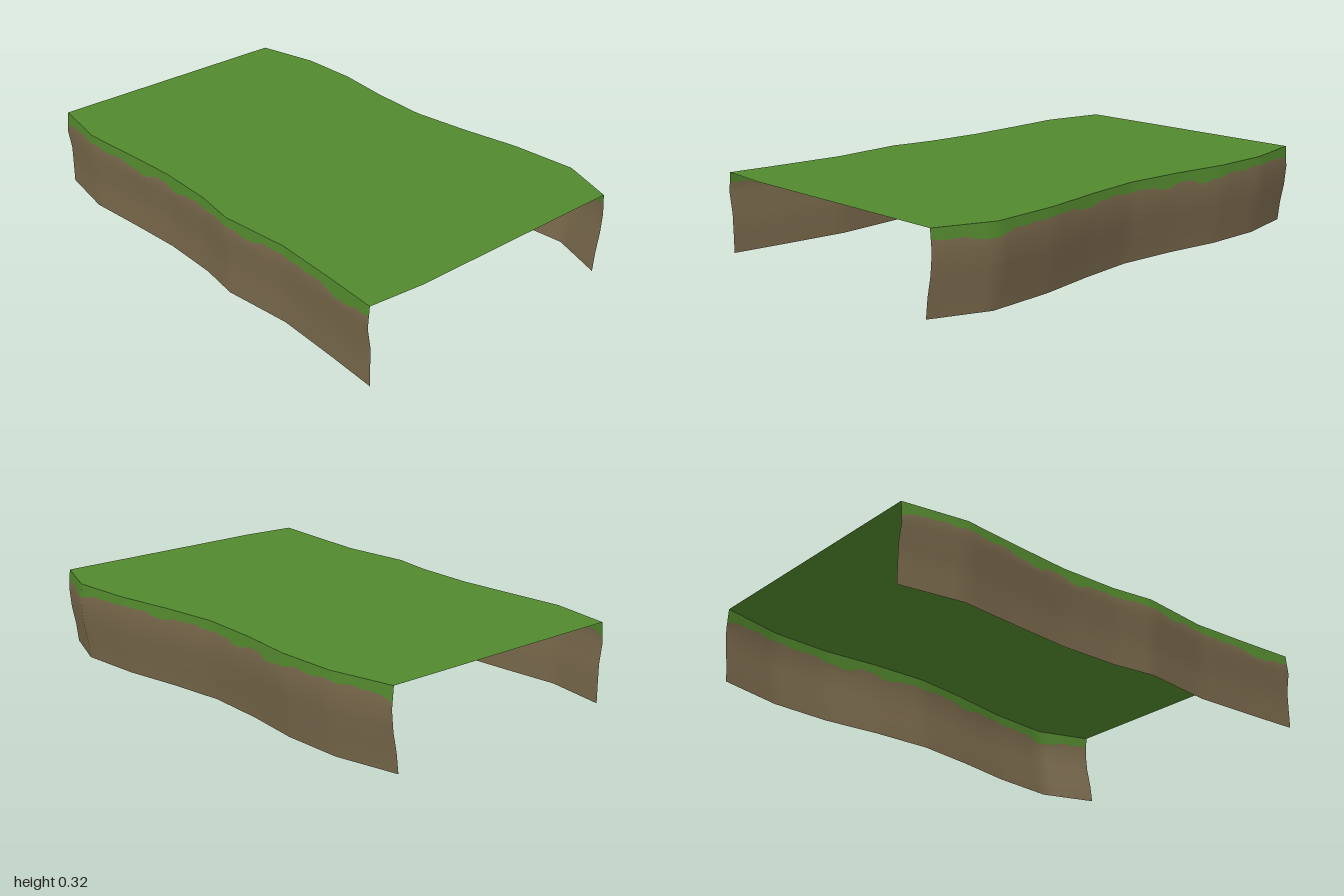
import * as THREE from 'three';

const HEIGHT = 0.325;
const STEPS = 6; // columns between two outline points

// Top outline of each bank as [x, z]
const frontLine = [[-1, 0.535], [-0.74, 0.589], [-0.49, 0.577], [-0.25, 0.569], [0, 0.586],
  [0.18, 0.62], [0.48, 0.6], [0.75, 0.625], [0.98, 0.65]];
const backLine = [[1, -0.562], [0.77, -0.65], [0.49, -0.635], [0.24, -0.595], [0, -0.568],
  [-0.25, -0.584], [-0.49, -0.616], [-0.74, -0.616], [-1, -0.562]];

// Outward bulge of each bank as [y, offset]
const frontBulge = [[0, -0.007], [0.08, -0.007], [0.16, -0.006], [0.24, 0.008], [HEIGHT, 0]];
const backBulge = [[0, -0.028], [0.08, -0.018], [0.16, -0.001], [0.24, 0.007], [HEIGHT, 0]];

// Heights of the ragged lower edge of the grass
const ragged = [0.265, 0.282, 0.286, 0.292, 0.284, 0.29, 0.291, 0.283, 0.29, 0.287, 0.276,
  0.267, 0.268, 0.288, 0.284, 0.27, 0.27, 0.285, 0.29, 0.283, 0.286, 0.292, 0.288, 0.29, 0.277,
  0.28, 0.294, 0.288, 0.291, 0.285, 0.29, 0.284, 0.288, 0.278, 0.267, 0.27, 0.284, 0.28, 0.287];

function bulgeAt(bulge, y) {
  let i = 0;
  while (i < bulge.length - 2 && y > bulge[i + 1][0]) i++;
  const [[y0, o0], [y1, o1]] = [bulge[i], bulge[i + 1]];
  return THREE.MathUtils.lerp(o0, o1, (y - y0) / (y1 - y0));
}

// Curved earth bank with a grass fringe along its top
function makeBank(name, line, bulge, side, materials) {
  const count = (line.length - 1) * STEPS;
  const rows = [0, 0.08, 0.16, 0.24, null, HEIGHT];
  const positions = [];
  const indices = [];
  rows.forEach((row) => {
    for (let i = 0; i <= count; i++) {
      const k = Math.min(Math.floor(i / STEPS), line.length - 2);
      const t = i / STEPS - k;
      const x = THREE.MathUtils.lerp(line[k][0], line[k + 1][0], t);
      const z = THREE.MathUtils.lerp(line[k][1], line[k + 1][1], t);
      const y = row ?? ragged[Math.round((x + 1) / 2 * (ragged.length - 1))];
      positions.push(x, y, z + side * bulgeAt(bulge, y));
    }
  });
  for (let r = 0; r < rows.length - 1; r++) {
    for (let i = 0; i < count; i++) {
      const a = r * (count + 1) + i;
      const d = a + count + 1;
      indices.push(a, a + 1, d + 1, a, d + 1, d);
    }
  }
  const geometry = new THREE.BufferGeometry();
  geometry.setAttribute('position', new THREE.Float32BufferAttribute(positions, 3));
  geometry.setIndex(indices);
  geometry.computeVertexNormals();
  geometry.addGroup(0, count * 4 * 6, 0);
  geometry.addGroup(count * 4 * 6, count * 6, 1);
  const mesh = new THREE.Mesh(geometry, materials);
  mesh.name = name;
  return mesh;
}

export function createModel() {
  const grass = new THREE.MeshStandardMaterial({ color: 0x52882d, side: THREE.DoubleSide });
  grass.name = 'grass green';
  const earth = new THREE.MeshStandardMaterial({ color: 0x78684b, side: THREE.DoubleSide });
  earth.name = 'earth brown';

  const group = new THREE.Group();
  group.name = 'grassyGround';

  // Flat grass sheet spanning the two banks, open at both ends
  const outline = [...frontLine, [1, 0.42], ...backLine]
    .map(([x, z]) => new THREE.Vector2(x, -z));
  const sheet = new THREE.ShapeGeometry(new THREE.Shape(outline));
  sheet.rotateX(-Math.PI / 2).translate(0, HEIGHT, 0);
  const top = new THREE.Mesh(sheet, grass);
  top.name = 'grassTop';

  group.add(top,
    makeBank('frontBank', frontLine, frontBulge, 1, [earth, grass]),
    makeBank('backBank', backLine, backBulge, -1, [earth, grass]));
  return group;
}
